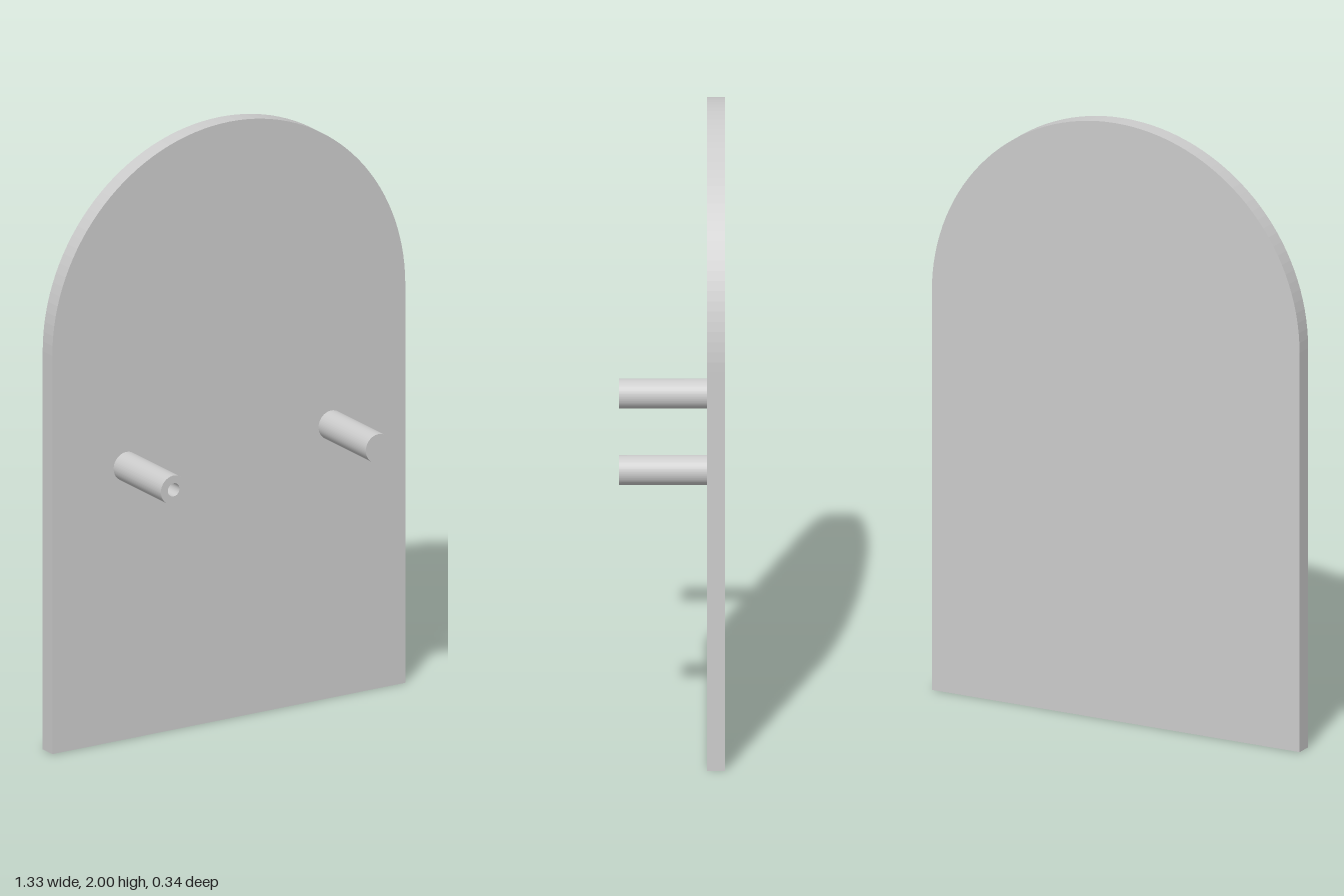
import * as THREE from 'three';

const BACK = -0.17, FACE = -0.113, TIP = 0.167;
const HALF_WIDTH = 0.665, SPRING = 2 - HALF_WIDTH;

export function createModel() {
  const group = new THREE.Group();
  const material = new THREE.MeshStandardMaterial({ color: 0xcccccc });

  // Extrudes a shape between two z planes
  const addPart = (name, shape, z0, z1, curveSegments) => {
    const geometry = new THREE.ExtrudeGeometry(shape, { depth: z1 - z0, bevelEnabled: false, curveSegments });
    const mesh = new THREE.Mesh(geometry, material);
    mesh.name = name;
    mesh.position.z = z0;
    group.add(mesh);
    return mesh;
  };

  // Upright panel with a semicircular top
  const panel = new THREE.Shape();
  panel.moveTo(-HALF_WIDTH, 0);
  panel.lineTo(HALF_WIDTH, 0);
  panel.lineTo(HALF_WIDTH, SPRING);
  panel.absarc(0, SPRING, HALF_WIDTH, 0, Math.PI, false);
  panel.closePath();
  addPart('archedPanel', panel, BACK, FACE, 32);

  // Two round pegs; the right one has a bore down to the panel face
  for (const side of [-1, 1]) {
    const peg = new THREE.Shape().absarc(0, 0, 0.048, 0, Math.PI * 2, false);
    if (side < 0) peg.holes.push(new THREE.Path().absarc(0, 0, 0.022, 0, Math.PI * 2, true));
    const mesh = addPart(side < 0 ? 'rightHollowPeg' : 'leftSolidPeg', peg, FACE, TIP, 32);
    mesh.position.x = side * 0.386;
    mesh.position.y = 0.915;
  }

  return group;
}
